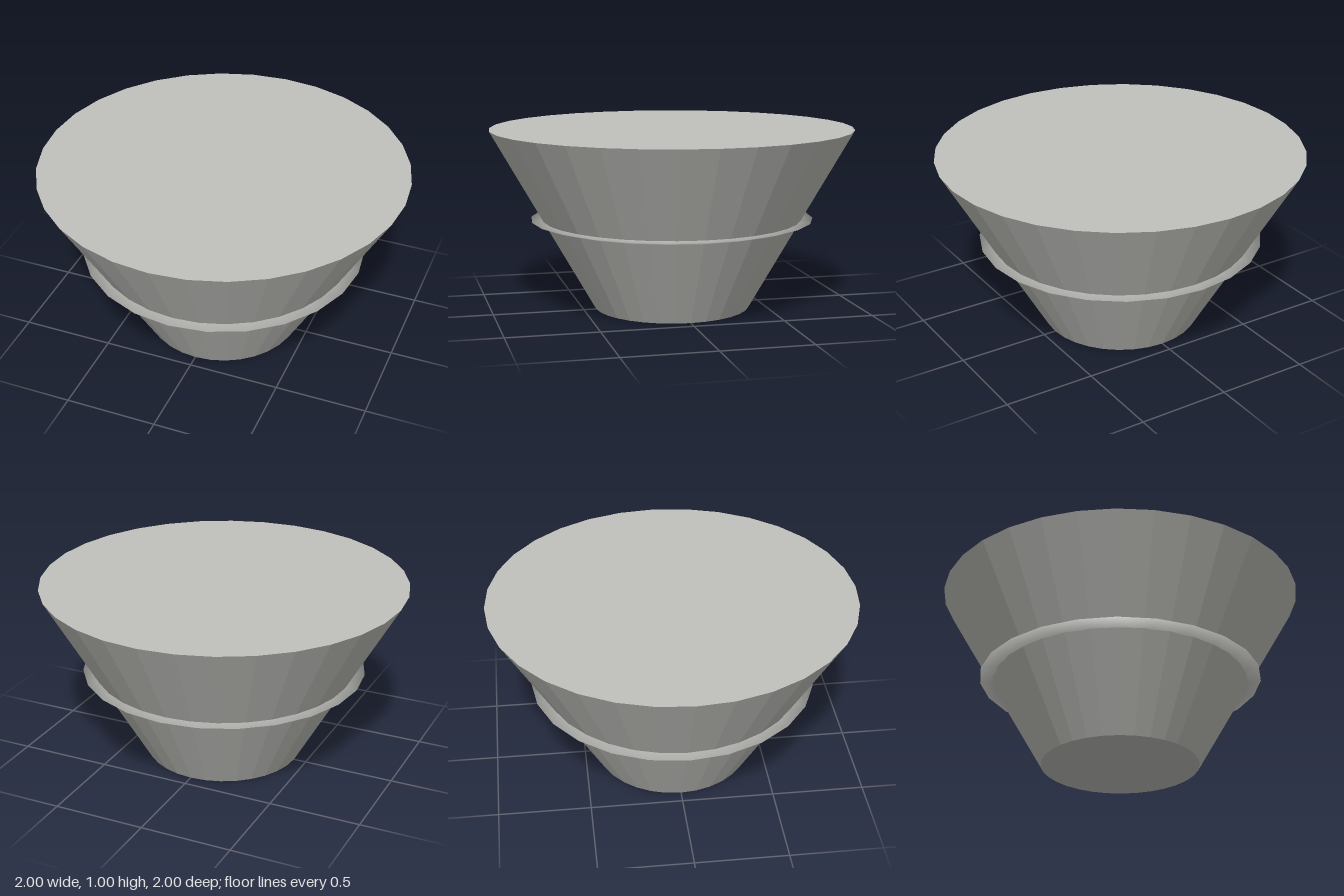
import * as THREE from 'three';

export function createModel() {
  const model = new THREE.Group();
  const gray = new THREE.MeshStandardMaterial({ color: 0xc0c0bc });

  // Faceted tapered body, closed at both ends
  const bodyGeometry = new THREE.CylinderGeometry(1, 0.43, 1, 32).toNonIndexed();
  bodyGeometry.computeVertexNormals();
  const body = new THREE.Mesh(bodyGeometry, gray);
  body.name = 'taperedBody';
  body.position.y = 0.5;
  model.add(body);

  // Thin wedge-shaped collar: sloped underside, sharp rim, flat top
  const collarProfile = [[0.62, 0.455], [0.78, 0.5], [0.62, 0.5]]
    .map(([r, y]) => new THREE.Vector2(r, y));
  const collar = new THREE.Mesh(new THREE.LatheGeometry(collarProfile, 24), gray);
  collar.name = 'collar';
  model.add(collar);

  return model;
}
